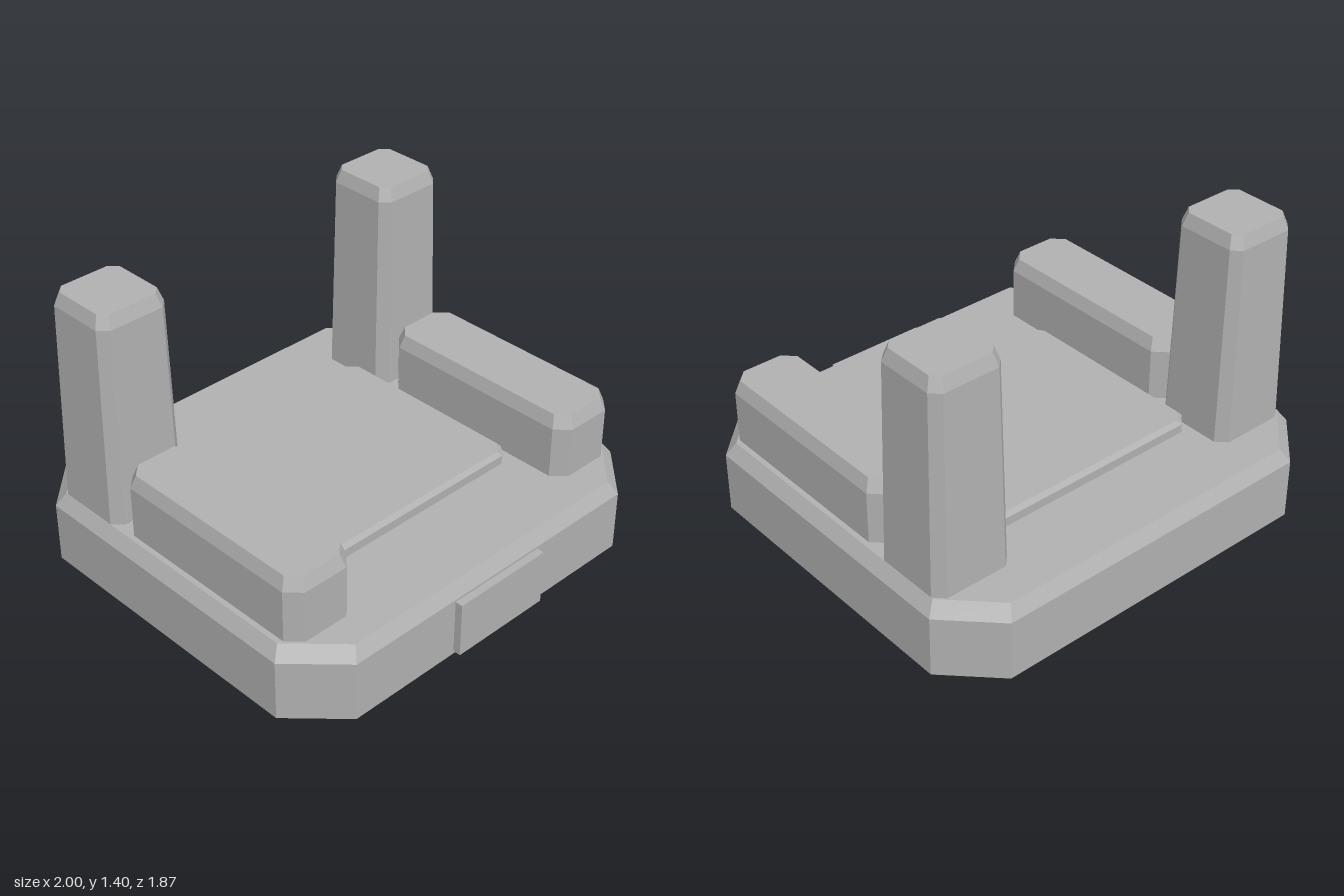
import * as THREE from 'three';

// Solid lofted through chamfered rectangles; each level is [y, halfX, halfZ, cornerCut].
function chamferedBlock(levels) {
  const rings = levels.map(([y, hx, hz, c]) => [
    [hx, hz - c], [hx, c - hz], [hx - c, -hz], [c - hx, -hz],
    [-hx, c - hz], [-hx, hz - c], [c - hx, hz], [hx - c, hz],
  ].map(([x, z]) => [x, y, z]));
  const pos = [];
  const tri = (a, b, c) => pos.push(...a, ...b, ...c);
  for (let k = 0; k < rings.length - 1; k++) {
    const lo = rings[k], hi = rings[k + 1];
    for (let i = 0; i < 8; i++) {
      const j = (i + 1) % 8;
      tri(lo[i], lo[j], hi[j]);
      tri(lo[i], hi[j], hi[i]);
    }
  }
  const bottom = rings[0], top = rings[rings.length - 1];
  for (let i = 1; i < 7; i++) {
    tri(top[0], top[i], top[i + 1]);
    tri(bottom[0], bottom[i + 1], bottom[i]);
  }
  const geo = new THREE.BufferGeometry();
  geo.setAttribute('position', new THREE.Float32BufferAttribute(pos, 3));
  geo.computeVertexNormals();
  return geo;
}

export function createModel() {
  const model = new THREE.Group();
  model.name = 'platform';
  const grey = new THREE.MeshStandardMaterial({ color: 0xb0b0b0, flatShading: true });
  grey.name = 'plain grey';

  const add = (name, geometry, x, y, z) => {
    const mesh = new THREE.Mesh(geometry, grey);
    mesh.name = name;
    mesh.position.set(x, y, z);
    model.add(mesh);
  };

  // Base with cut corners and bevelled rims
  add('base', chamferedBlock([
    [0, 0.93, 0.846, 0.205], [0.08, 1, 0.91, 0.22],
    [0.36, 1, 0.91, 0.22], [0.42, 0.96, 0.872, 0.21],
  ]), 0, 0, -0.023);

  // Low raised slab in the middle
  add('centreSlab', chamferedBlock([
    [0.4, 0.575, 0.49, 0.05], [0.46, 0.575, 0.49, 0.05], [0.48, 0.557, 0.473, 0.045],
  ]), 0, 0, -0.045);

  // Side rails and tapered rear posts
  const rail = chamferedBlock([
    [0.4, 0.167, 0.512, 0.06], [0.66, 0.167, 0.512, 0.06], [0.72, 0.145, 0.49, 0.052],
  ]);
  const post = chamferedBlock([
    [0.4, 0.19, 0.19, 0.045], [1.34, 0.17, 0.173, 0.04], [1.4, 0.15, 0.153, 0.035],
  ]);
  for (const [side, s] of [['left', 1], ['right', -1]]) {
    add(side + 'Rail', rail, s * 0.769, 0, 0.195);
    add(side + 'Post', post, s * 0.769, 0, -0.53);
  }

  // Thin panel just ahead of the front face
  add('frontPanel', new THREE.BoxGeometry(0.49, 0.256, 0.035), 0, 0.235, 0.915);

  return model;
}
